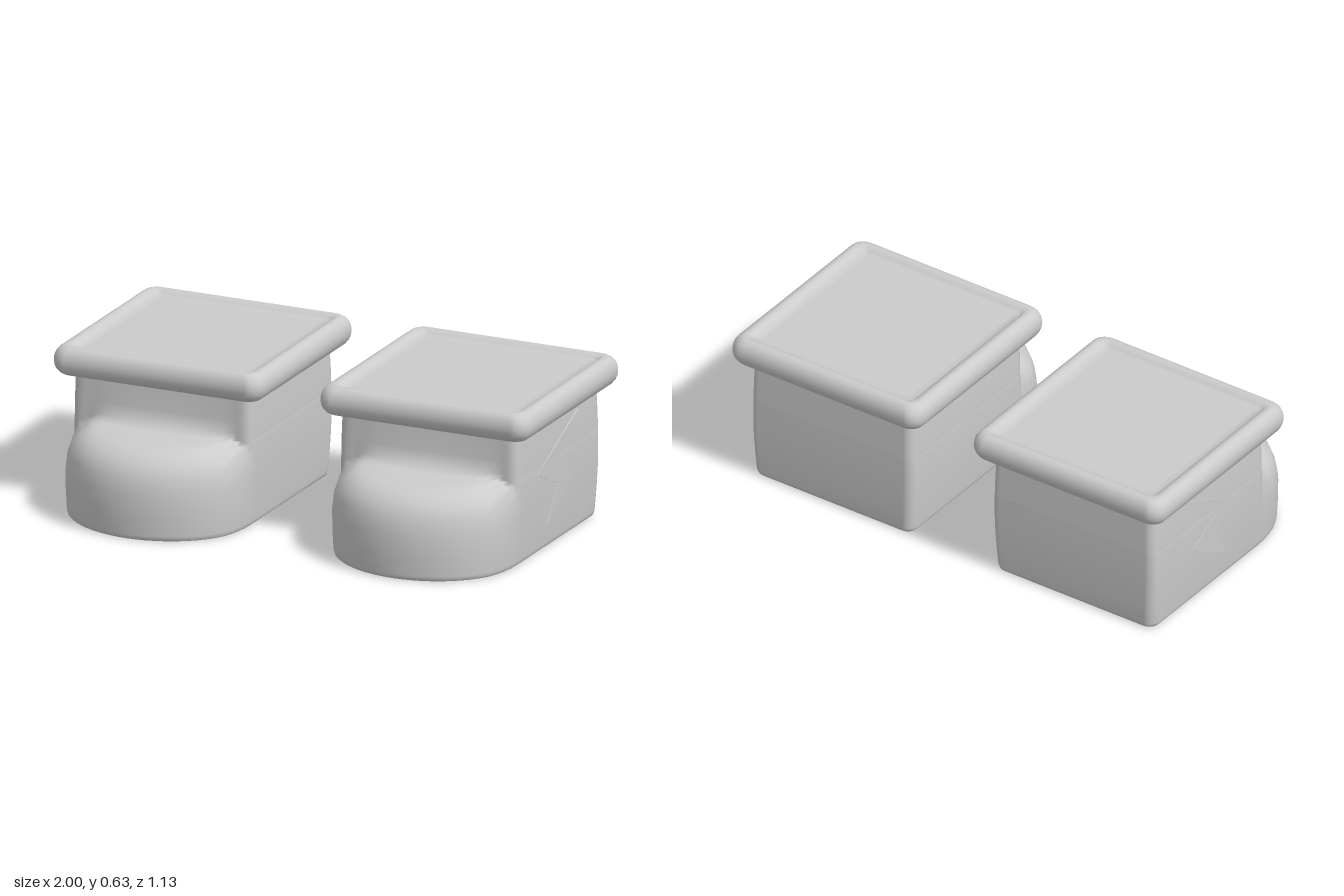
import * as THREE from 'three';

const material = new THREE.MeshStandardMaterial({ color: 0xcccccc });

// Skin a stack of equal-length rings (bottom to top) and close both ends
function loft(rings) {
  const n = rings[0].length, pos = [], idx = [];
  rings.forEach(r => r.forEach(p => pos.push(...p)));
  for (let j = 0; j < rings.length - 1; j++) {
    for (let i = 0; i < n; i++) {
      const k = (i + 1) % n, a = j * n + i, b = j * n + k;
      idx.push(a, a + n, b, b, a + n, b + n);
    }
  }
  const cap = (ring, up) => {
    const base = pos.length / 3;
    const mid = [0, 1, 2].map(c => ring.reduce((s, p) => s + p[c], 0) / n);
    pos.push(...mid);
    ring.forEach(p => pos.push(...p));
    for (let i = 0; i < n; i++) {
      const a = base + 1 + i, b = base + 1 + (i + 1) % n;
      if (up) idx.push(base, b, a); else idx.push(base, a, b);
    }
  };
  cap(rings[0], false);
  cap(rings[rings.length - 1], true);
  const g = new THREE.BufferGeometry();
  g.setAttribute('position', new THREE.Float32BufferAttribute(pos, 3));
  g.setIndex(idx);
  g.computeVertexNormals();
  return g;
}

// Boot outline at one height: rounded box with a toe bulging from its front
function bootRing([y, w, back, toe, toeWidth]) {
  const pts = [], r = 0.04, front = 0.24, cols = 28;
  for (let i = 0; i <= cols; i++) {
    const x = w * Math.cos(Math.PI * i / cols);
    const over = Math.max(0, Math.abs(x) - (w - r));
    const corner = Math.sqrt(Math.max(0, r * r - over * over)) - r;
    const u = Math.min(1, Math.abs(x) / toeWidth);
    pts.push([x, y, front + corner + (toe - front) * Math.sqrt(1 - u * u)]);
  }
  for (const z of [0.1, -0.1, -0.3]) pts.push([-w, y, z]);
  const corner = s => [0, 1, 2, 3, 4].map(i => {
    const a = i * Math.PI / 8;
    return [s * (w - r + r * Math.cos(a)), y, -back + r - r * Math.sin(a)];
  });
  pts.push(...corner(-1), ...corner(1).reverse());
  for (const z of [-0.3, -0.1, 0.1]) pts.push([w, y, z]);
  return pts;
}

// Rounded rectangle outline of the cuff, drawn in by an inset
function cuffRing(inset, y) {
  const hx = 0.44 - inset, hz = 0.4375 - inset, r = Math.max(0.02, 0.06 - inset * 0.5);
  const pts = [];
  for (let q = 0; q < 4; q++) {
    const sx = q === 0 || q === 3 ? 1 : -1, sz = q < 2 ? 1 : -1;
    for (let i = 0; i <= 5; i++) {
      const a = (q + i / 5) * Math.PI / 2;
      pts.push([sx * (hx - r) + r * Math.cos(a), y, -0.1275 + sz * (hz - r) + r * Math.sin(a)]);
    }
  }
  return pts;
}

function buildCuff() {
  const rings = [cuffRing(0.1, 0.516)];
  for (let i = 0; i <= 10; i++) {
    const a = -Math.PI / 2 + Math.PI * i / 10;
    rings.push(cuffRing(0.042 * (1 - Math.cos(a)), 0.5725 + 0.0575 * Math.sin(a)));
  }
  // Shallow recess inside the rim
  rings.push(cuffRing(0.055, 0.627), cuffRing(0.066, 0.619), cuffRing(0.075, 0.612), cuffRing(0.1, 0.61));
  return loft(rings);
}

export function createModel() {
  const model = new THREE.Group();
  model.name = 'boots';

  // Height, half width, back depth, toe reach, toe half width
  const bootGeometry = loft([
    [0, 0.357, 0.483, 0.547, 0.357],
    [0.005, 0.363, 0.489, 0.553, 0.363],
    [0.02, 0.367, 0.493, 0.558, 0.366],
    [0.1, 0.372, 0.498, 0.563, 0.37],
    [0.18, 0.376, 0.501, 0.565, 0.37],
    [0.24, 0.378, 0.502, 0.551, 0.364],
    [0.29, 0.378, 0.502, 0.53, 0.348],
    [0.318, 0.378, 0.502, 0.487, 0.32],
    [0.337, 0.378, 0.502, 0.45, 0.295],
    [0.344, 0.377, 0.502, 0.375, 0.285],
    [0.35, 0.377, 0.502, 0.3, 0.28],
    [0.372, 0.377, 0.501, 0.262, 0.28],
    [0.42, 0.376, 0.5, 0.249, 0.28],
    [0.52, 0.372, 0.496, 0.241, 0.28],
  ].map(bootRing));
  const cuffGeometry = buildCuff();

  // Zigzag side ornament, drawn in (-z, y)
  const zigzag = new THREE.Shape([
    [0.29, 0.48], [-0.07, 0.32], [0.105, 0.24], [0.02, 0.1], [0.245, 0.24], [0.085, 0.32],
  ].map(p => new THREE.Vector2(...p)));
  const zigzagGeometry = new THREE.ExtrudeGeometry(zigzag, { depth: 0.014, bevelEnabled: false });
  zigzagGeometry.translate(0, 0, -0.007).rotateY(Math.PI / 2);

  for (const side of [1, -1]) {
    const boot = new THREE.Group();
    boot.name = side > 0 ? 'leftBoot' : 'rightBoot';
    boot.position.x = side * 0.56;
    const add = (geometry, name) => {
      const mesh = new THREE.Mesh(geometry, material);
      mesh.name = name;
      boot.add(mesh);
      return mesh;
    };
    add(bootGeometry, 'bootBody');
    add(cuffGeometry, 'cuff');
    add(zigzagGeometry, 'sideZigzag').position.x = side * 0.374;
    model.add(boot);
  }
  return model;
}
